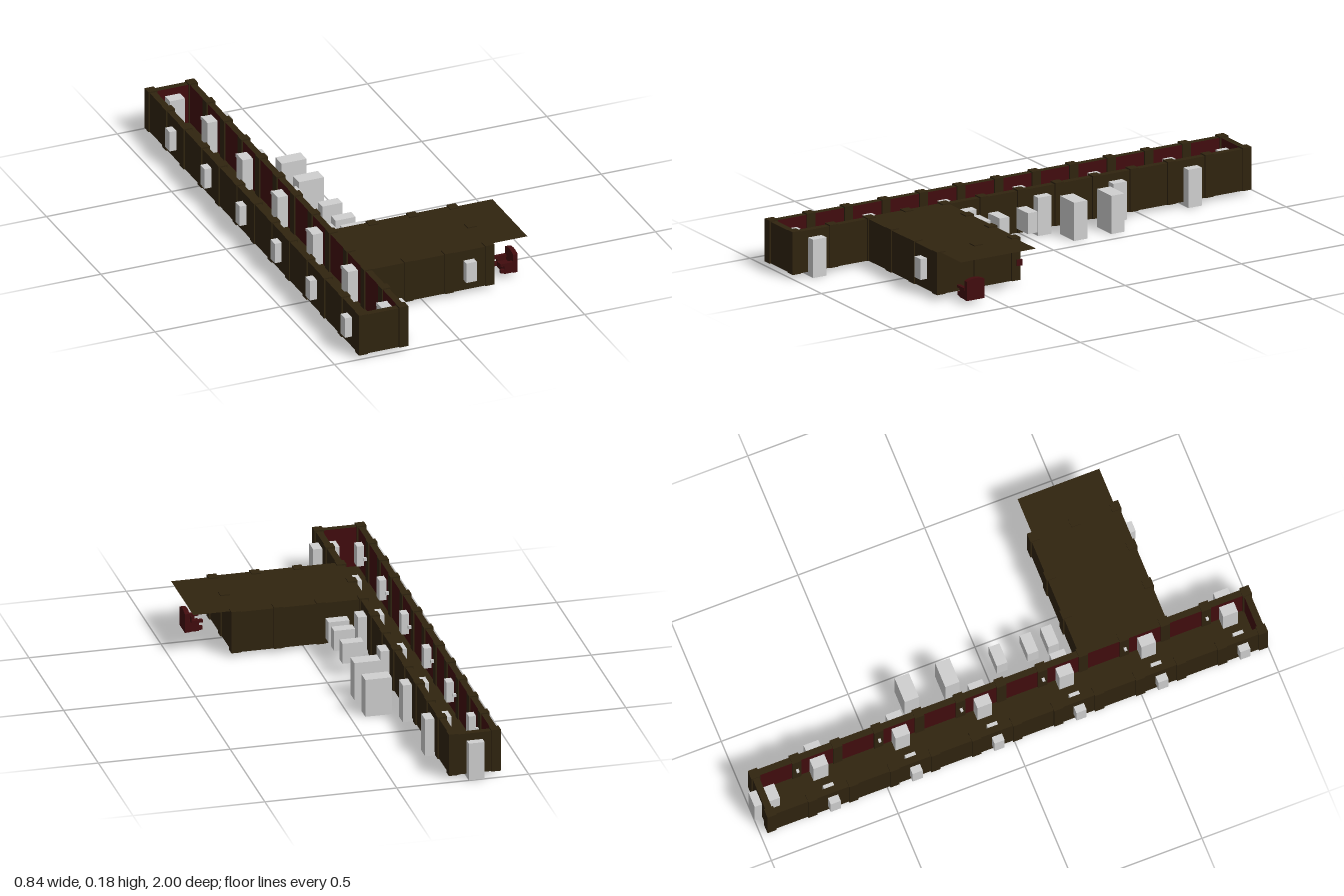
import * as THREE from 'three';

export function createModel() {
  const model = new THREE.Group();
  const mat = (name, color) => {
    const m = new THREE.MeshStandardMaterial({ color });
    m.name = name;
    return m;
  };
  const brown = mat('darkBrown', 0x30240f);
  const red = mat('deepRed', 0x420c0e);
  const white = mat('paleGrey', 0xd0d0d0);
  const plateBrown = brown.clone();
  plateBrown.side = THREE.DoubleSide;

  // Box given by its centre and size
  function box(name, material, x, y, z, w, h, d) {
    const mesh = new THREE.Mesh(new THREE.BoxGeometry(w, h, d), material);
    mesh.name = name;
    mesh.position.set(x, y, z);
    model.add(mesh);
    return mesh;
  }

  const STEP = 0.1615, FRONT = 0.98, LEFT = -0.383, RIGHT = -0.222, EAST = 0.262;
  const BASE = 0.015, TOP = 0.175, THICK = 0.025;
  const zAt = i => FRONT - STEP * i;
  const BACK = zAt(12);
  const midY = (BASE + TOP) / 2, wallH = TOP - BASE;

  // Walls are brown outside and red on the face given by inner (0..5 = +x -x +y -y +z -z)
  function wall(name, inner, x, z, w, d) {
    const mats = Array(6).fill(brown);
    mats[inner] = red;
    box(name, mats, x, midY, z, w, wallH, d);
  }
  const post = (x, z) => box('post', brown, x, (BASE + 0.18) / 2, z, 0.036, 0.18 - BASE, 0.036);
  const door = (x, z, w, d) => box('door', white, x, 0.0735, z, w, 0.147, d);
  const windowBlock = (x, z, w, d) => box('window', white, x, 0.096, z, w, 0.08, d);

  // Long corridor
  const corridorZ = (FRONT + BACK) / 2, corridorL = FRONT - BACK;
  const corridorX = (LEFT + RIGHT) / 2, corridorW = RIGHT - LEFT;
  box('corridorFloor', brown, corridorX, BASE + 0.002, corridorZ, corridorW + 0.02, 0.004, corridorL + 0.02);
  wall('corridorRightWall', 0, LEFT, corridorZ, THICK, corridorL);
  wall('corridorLeftWall', 1, RIGHT, corridorZ, THICK, corridorL);
  wall('corridorFrontWall', 5, corridorX, FRONT, corridorW, THICK);
  wall('corridorBackWall', 4, corridorX, BACK, corridorW, THICK);
  for (let i = 0; i <= 12; i++) {
    post(LEFT, zAt(i));
    post(RIGHT, zAt(i));
  }

  // Doors, windows and wall lamps in every second bay
  for (let i = 0; i < 6; i++) {
    const z = zAt(2 * i + 0.5);
    door(RIGHT - 0.003, z, 0.1, 0.058);
    windowBlock(LEFT, z, 0.08, 0.04);
    for (const x of [LEFT + 0.026, RIGHT - 0.026])
      box('wallLamp', white, x, 0.11, zAt(2 * i + 1), 0.012, 0.012, 0.01);
  }
  door(-0.303, -0.95, 0.06, 0.1);

  // Side hall
  const z0 = zAt(4), z1 = zAt(2), hallZ = (z0 + z1) / 2, hallD = z1 - z0;
  const hallX = (RIGHT + EAST) / 2, hallW = EAST - RIGHT;
  box('hallFloor', brown, hallX, BASE + 0.002, hallZ, hallW + 0.02, 0.004, hallD + 0.02);
  wall('hallFrontWall', 5, hallX, z1, hallW, THICK);
  wall('hallBackWall', 4, hallX, z0, hallW, THICK);
  wall('hallEndWall', 1, EAST, hallZ, THICK, hallD);
  for (let i = 1; i <= 3; i++) {
    post(RIGHT + i * STEP, z0);
    post(RIGHT + i * STEP, z1);
  }
  post(EAST, hallZ);
  windowBlock(0.18, z1, 0.042, 0.08);

  // Thin ceiling overhanging the end of the hall
  const ceiling = new THREE.Mesh(new THREE.PlaneGeometry(0.64, 0.322), plateBrown);
  ceiling.name = 'hallCeiling';
  ceiling.rotation.x = -Math.PI / 2;
  ceiling.position.set(0.1, TOP + 0.001, hallZ);
  model.add(ceiling);

  // Detached door and window blocks beside the corridor
  for (const z of [-0.31, -0.15]) door(-0.105, z, 0.1, 0.056);
  for (const z of [0.05, 0.172, 0.253]) windowBlock(-0.105, z, 0.08, 0.042);

  // Throne facing the hall, its back rounded at the top
  const back = new THREE.Shape();
  back.moveTo(-0.038, 0);
  back.lineTo(0.038, 0);
  back.lineTo(0.038, 0.074);
  back.quadraticCurveTo(0, 0.092, -0.038, 0.074);
  const backMesh = new THREE.Mesh(
    new THREE.ExtrudeGeometry(back, { depth: 0.018, bevelEnabled: false, curveSegments: 6 }), red);
  backMesh.name = 'throneBack';
  backMesh.rotation.y = Math.PI / 2;
  backMesh.position.set(0.38, BASE, 0.58);
  model.add(backMesh);
  box('throneSeat', red, 0.362, 0.028, 0.58, 0.036, 0.022, 0.056);
  for (const s of [-1, 1]) {
    box('throneSide', red, 0.363, 0.038, 0.58 + s * 0.032, 0.036, 0.042, 0.012);
    box('throneArm', red, 0.355, 0.055, 0.58 + s * 0.032, 0.05, 0.01, 0.014);
    box('throneFoot', red, 0.339, 0.028, 0.58 + s * 0.032, 0.016, 0.014, 0.012);
  }

  // Small plaque hanging near the ceiling corner
  box('plaque', red, 0.411, 0.131, 0.4, 0.004, 0.024, 0.022);

  return model;
}
